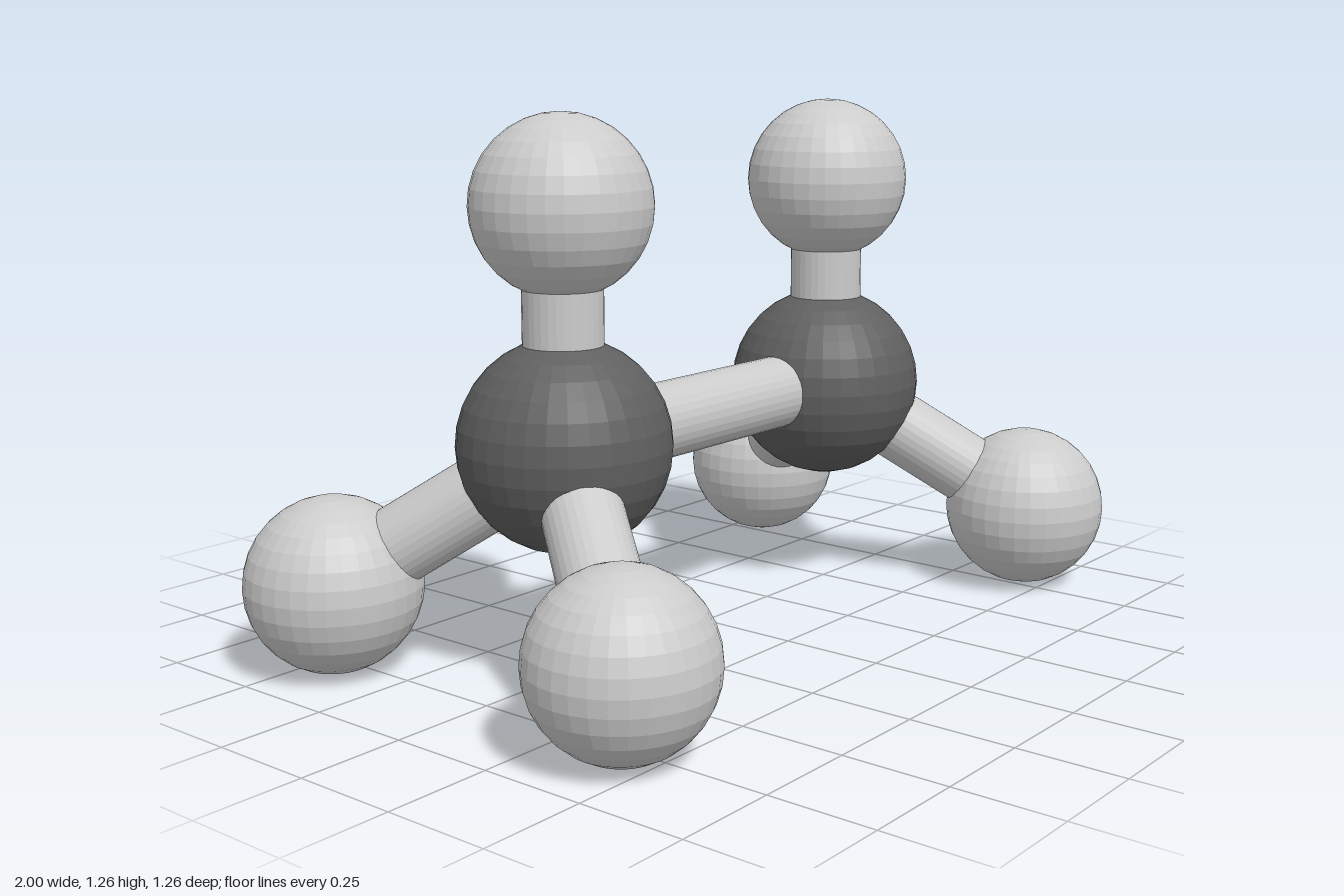
import * as THREE from 'three';

export function createModel() {
  const group = new THREE.Group();
  const light = new THREE.MeshStandardMaterial({ color: 0xcccccc, flatShading: true });
  const dark = new THREE.MeshStandardMaterial({ color: 0x606060, flatShading: true });
  const up = new THREE.Vector3(0, 1, 0);

  function ball(name, centre, radius, material) {
    const mesh = new THREE.Mesh(new THREE.SphereGeometry(radius, 32, 16), material);
    mesh.name = name;
    mesh.position.copy(centre);
    group.add(mesh);
  }

  // Straight rod between two ball centres
  function bond(name, a, b) {
    const dir = b.clone().sub(a);
    const mesh = new THREE.Mesh(new THREE.CylinderGeometry(0.09, 0.09, dir.length(), 32), light);
    mesh.name = name;
    mesh.position.copy(a).add(b).multiplyScalar(0.5);
    mesh.quaternion.setFromUnitVectors(up, dir.normalize());
    group.add(mesh);
  }

  // Two mirrored halves: a dark core with three outer balls
  const cores = [];
  for (const [side, s] of [['left', 1], ['right', -1]]) {
    const core = new THREE.Vector3(s * 0.495, 0.53, 0);
    cores.push(core);
    ball(side + 'CarbonAtom', core, 0.24, dark);
    const outer = {
      Top: new THREE.Vector3(s * 0.495, 1.055, 0),
      Front: new THREE.Vector3(s * 0.798, 0.203, 0.43),
      Back: new THREE.Vector3(s * 0.798, 0.203, -0.43),
    };
    for (const [place, centre] of Object.entries(outer)) {
      ball(side + place + 'HydrogenAtom', centre, 0.202, light);
      bond(side + place + 'Bond', core, centre);
    }
  }

  // Central rod joining the cores
  bond('centralBond', cores[0], cores[1]);
  return group;
}
